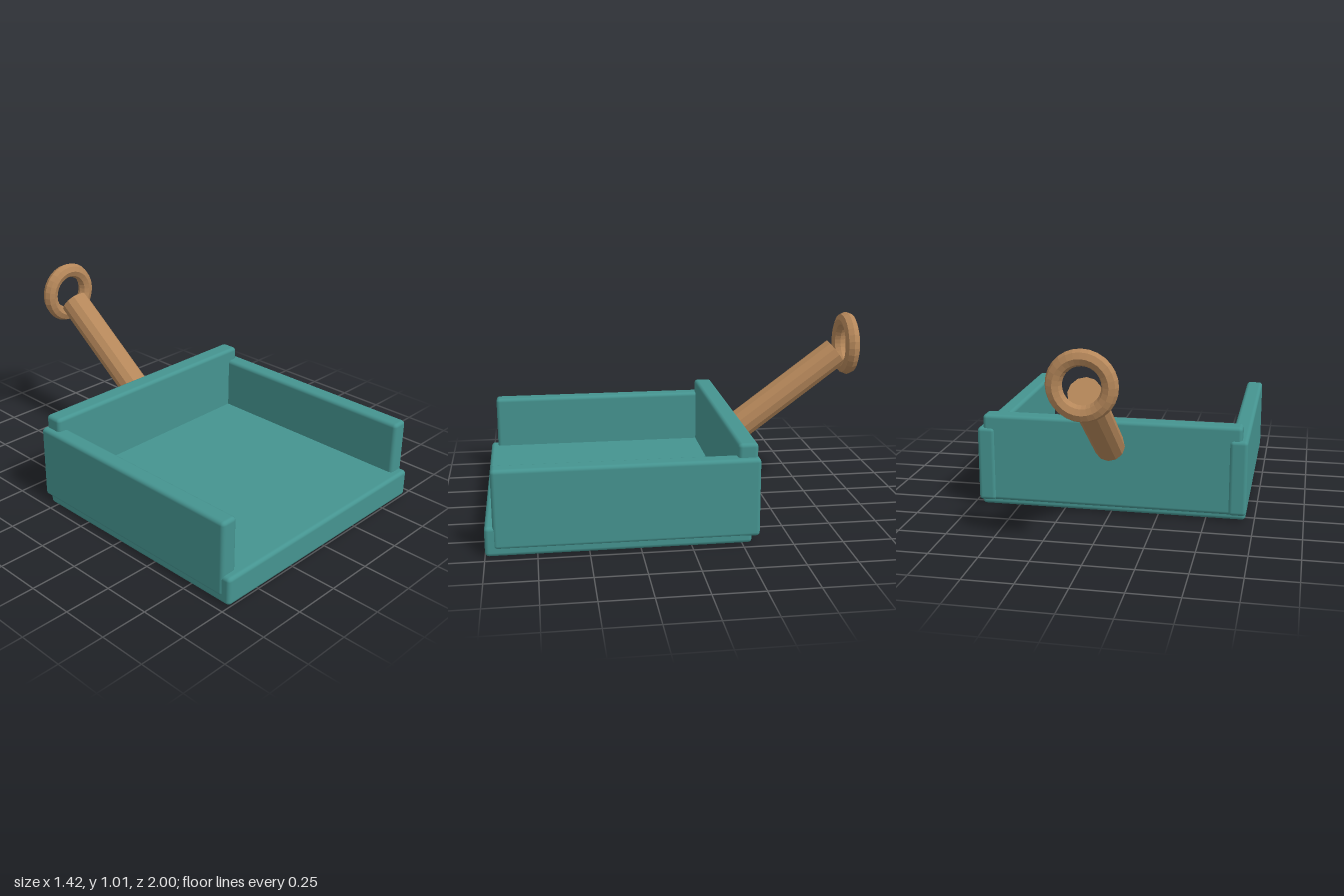
import * as THREE from 'three';
import { RoundedBoxGeometry } from 'three/addons/geometries/RoundedBoxGeometry.js';

export function createModel() {
  const model = new THREE.Group();
  model.name = 'dustpan';
  const teal = new THREE.MeshStandardMaterial({ color: 0x459490 });
  const wood = new THREE.MeshStandardMaterial({ color: 0xb5875a, flatShading: true });

  // Softly bevelled panel given by its minimum and maximum corners
  function panel(name, min, max) {
    const [w, h, d] = max.map((v, i) => v - min[i]);
    const mesh = new THREE.Mesh(new RoundedBoxGeometry(w, h, d, 2, 0.02), teal);
    mesh.position.set(...max.map((v, i) => (v + min[i]) / 2));
    mesh.name = name;
    model.add(mesh);
  }

  // Tray: thick floor, back wall and two side walls
  panel('floor', [-0.705, 0.005, -0.3], [0.705, 0.155, 1]);
  panel('backWall', [-0.68, 0.04, -0.33], [0.68, 0.51, -0.23]);
  panel('leftWall', [0.617, 0.04, -0.34], [0.71, 0.44, 0.96]);
  panel('rightWall', [-0.71, 0.04, -0.34], [-0.617, 0.44, 0.96]);

  // Handle rising backwards from the back wall
  const start = new THREE.Vector3(0, 0.374, -0.324);
  const end = new THREE.Vector3(0, 0.802, -0.901);
  const axis = end.clone().sub(start);
  const handle = new THREE.Mesh(new THREE.CylinderGeometry(0.08, 0.08, axis.length(), 12), wood);
  handle.position.copy(start).add(end).multiplyScalar(0.5);
  handle.quaternion.setFromUnitVectors(new THREE.Vector3(0, 1, 0), axis.normalize());
  handle.name = 'handle';
  model.add(handle);

  // Upright hanging ring at the handle's end
  const ring = new THREE.Mesh(new THREE.TorusGeometry(0.13, 0.04, 8, 28), wood);
  ring.position.set(0, 0.85, -0.957);
  ring.name = 'hangingRing';
  model.add(ring);

  return model;
}
